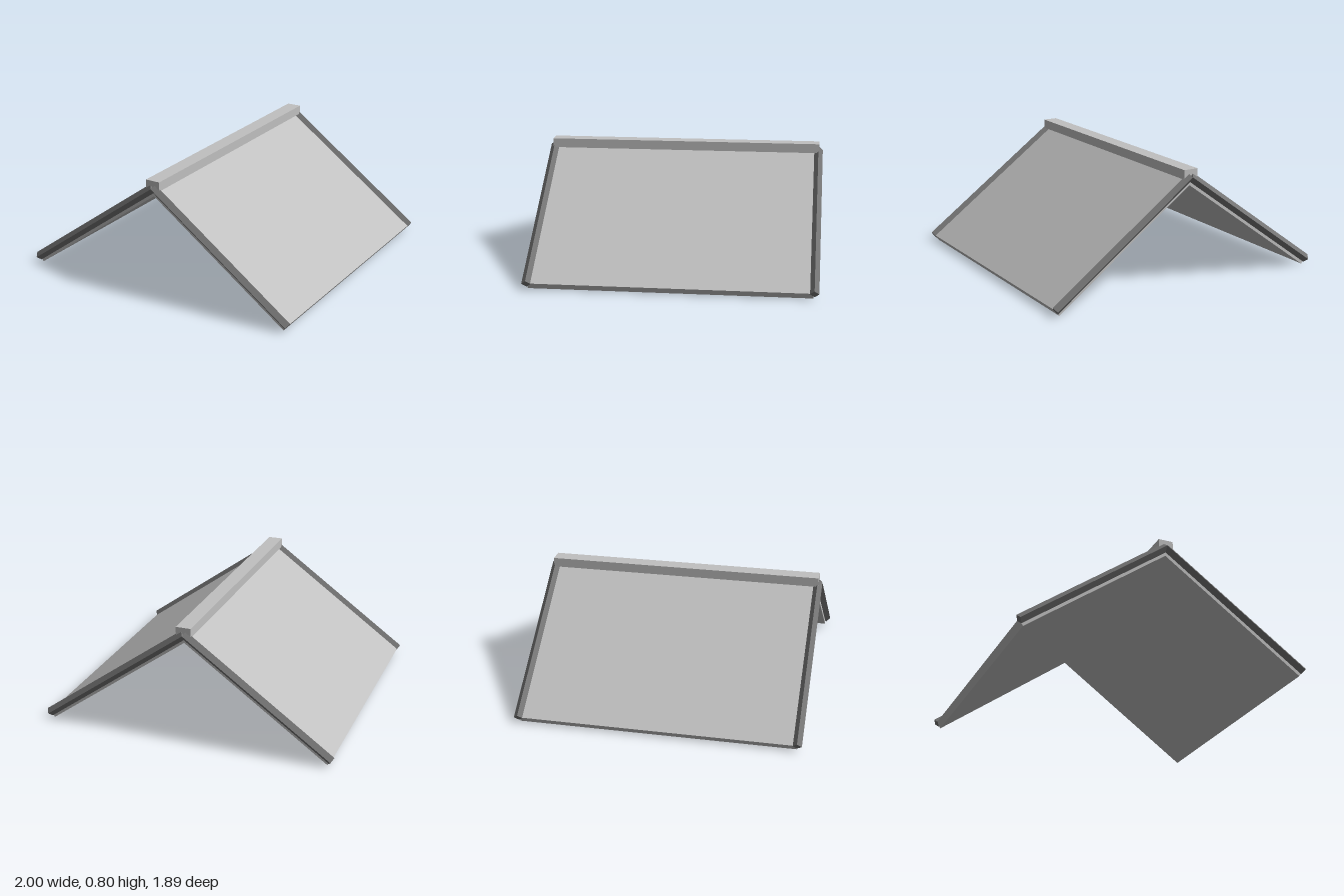
import * as THREE from 'three';

const SLOPE = Math.atan(0.724);
const EAVE = { x: 0.98, y: 0.043 }; // upper corner of the eave
const THICK = 0.05;
const TRIM_R = 0.03;
const TRIM_Z = 0.916;

export function createModel() {
  const group = new THREE.Group();
  group.name = 'gableRoof';
  const panelMat = new THREE.MeshStandardMaterial({ color: 0xc0c0c0 });
  panelMat.name = 'light grey';
  const trimMat = new THREE.MeshStandardMaterial({ color: 0x747474 });
  trimMat.name = 'dark grey';

  const add = (name, geometry, material) => {
    const mesh = new THREE.Mesh(geometry, material);
    mesh.name = name;
    group.add(mesh);
    return mesh;
  };

  const apexY = EAVE.y + EAVE.x * Math.tan(SLOPE);
  const length = EAVE.x / Math.cos(SLOPE);

  for (const side of [1, -1]) {
    const label = side > 0 ? 'left' : 'right';

    // Roof panel, square at the eave and mitred at the ridge
    const profile = new THREE.Shape([
      new THREE.Vector2(0, apexY),
      new THREE.Vector2(0, apexY - THICK / Math.cos(SLOPE)),
      new THREE.Vector2(side * (EAVE.x - THICK * Math.sin(SLOPE)), EAVE.y - THICK * Math.cos(SLOPE)),
      new THREE.Vector2(side * EAVE.x, EAVE.y),
    ]);
    const panel = new THREE.ExtrudeGeometry(profile, { depth: 1.82, bevelEnabled: false });
    panel.translate(0, 0, -0.91);
    add(label + 'RoofPanel', panel, panelMat);

    // Diamond-section trim along both gable edges
    for (const end of [1, -1]) {
      const bar = new THREE.CylinderGeometry(TRIM_R, TRIM_R, length, 4).toNonIndexed();
      bar.computeVertexNormals();
      bar.rotateZ(Math.PI / 2);
      const trim = add(label + (end > 0 ? 'Front' : 'Back') + 'Trim', bar, trimMat);
      trim.rotation.z = -side * SLOPE;
      trim.position.set(side * EAVE.x / 2, (EAVE.y + apexY) / 2 - 0.003, end * TRIM_Z);
    }
  }

  // Ridge cap along the top
  add('ridgeCap', new THREE.BoxGeometry(0.1, 0.062, 1.845), panelMat).position.y = 0.767;

  return group;
}
